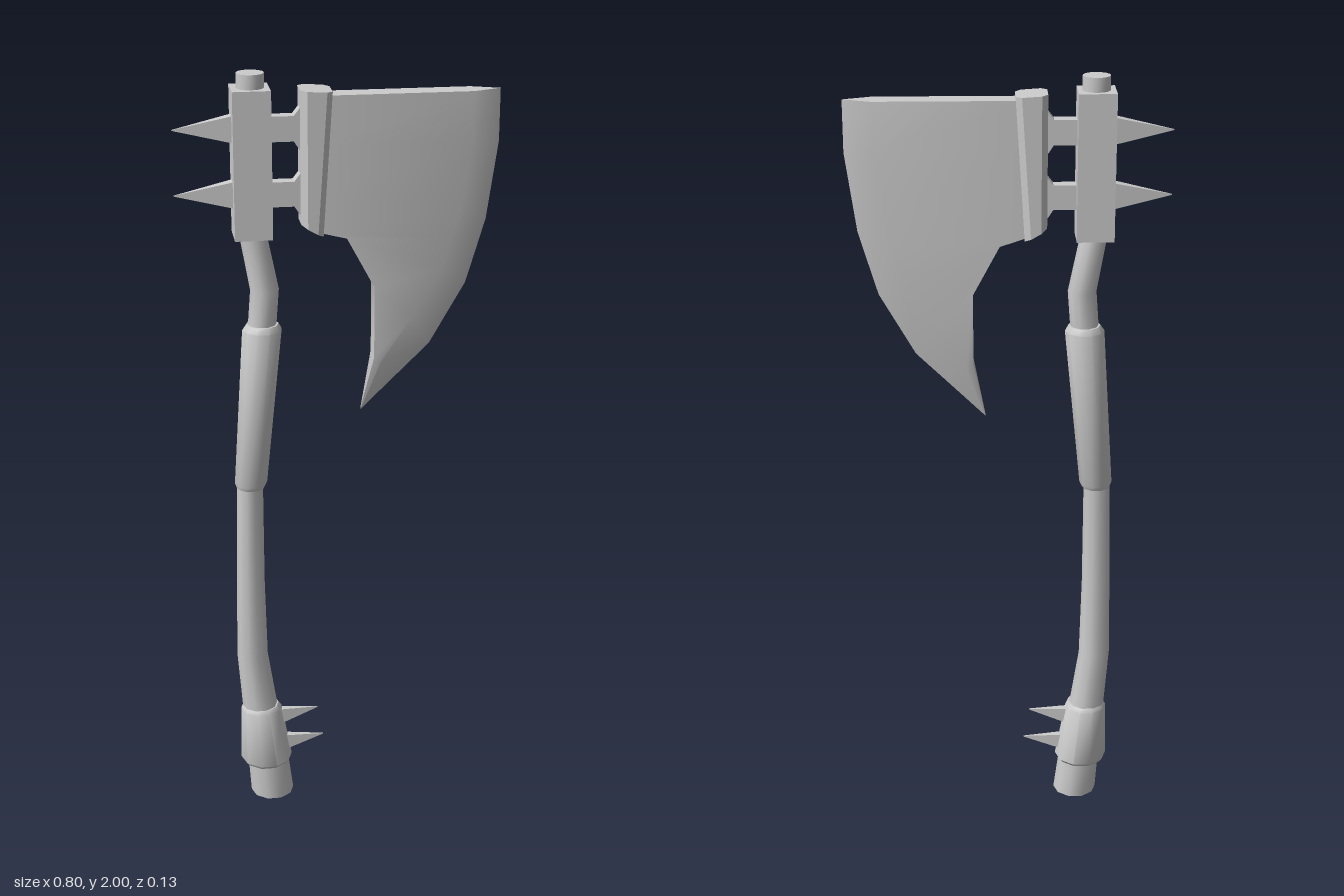
import * as THREE from 'three';
import { toCreasedNormals } from 'three/addons/utils/BufferGeometryUtils.js';

const material = new THREE.MeshStandardMaterial({ color: 0xcccccc });

// Skin a list of equal-length rings of [x, y, z] and close both ends
function loft(name, rings, crease = 0.75) {
  const n = rings[0].length, pos = [];
  const tri = (a, b, c) => pos.push(...a, ...b, ...c);
  const middle = (r) => [0, 1, 2].map((k) => r.reduce((s, p) => s + p[k], 0) / n);
  const first = rings[0], last = rings[rings.length - 1];
  const c0 = middle(first), c1 = middle(last);
  for (let i = 0; i < n; i++) {
    const k = (i + 1) % n;
    for (let j = 0; j < rings.length - 1; j++) {
      const lo = rings[j], hi = rings[j + 1];
      tri(lo[i], lo[k], hi[k]);
      tri(lo[i], hi[k], hi[i]);
    }
    tri(c0, first[k], first[i]);
    tri(c1, last[i], last[k]);
  }
  const geo = new THREE.BufferGeometry();
  geo.setAttribute('position', new THREE.Float32BufferAttribute(pos, 3));
  const mesh = new THREE.Mesh(toCreasedNormals(geo, crease), material);
  mesh.name = name;
  return mesh;
}

// Round bar through [centre x, y, radius] stations, bottom to top
function bar(name, stations, sides = 10) {
  return loft(name, stations.map(([cx, y, r]) => Array.from({ length: sides }, (_, i) => {
    const a = (i / sides) * Math.PI * 2;
    return [cx + r * Math.cos(a), y, -r * Math.sin(a)];
  })));
}

// Rectangular bar along x through [x, centre y, half height, half depth] stations
function beam(name, stations) {
  return loft(name, stations.map(([x, y, h, d]) =>
    [[x, y + h, -d], [x, y + h, d], [x, y - h, d], [x, y - h, -d]]), 0.3);
}

export function createModel() {
  const group = new THREE.Group();

  // Curved handle with its sleeves
  group.add(
    bar('shaft', [
      [-0.183, 0, 0.058], [-0.193, 0.105, 0.055], [-0.213, 0.27, 0.047], [-0.231, 0.43, 0.041],
      [-0.232, 0.65, 0.037], [-0.229, 0.93, 0.034], [-0.19, 1.37, 0.036], [-0.183, 1.46, 0.036],
      [-0.211, 1.61, 0.034]]),
    bar('pommelSleeve', [
      [-0.198, 0.1, 0.062], [-0.198, 0.11, 0.07], [-0.21, 0.265, 0.055], [-0.211, 0.275, 0.048]]),
    bar('gripSleeve', [
      [-0.227, 0.925, 0.037], [-0.226, 0.937, 0.042], [-0.191, 1.355, 0.05], [-0.19, 1.37, 0.041]]),
    bar('topCap', [[-0.21, 1.95, 0.034], [-0.21, 2, 0.034]], 16),
  );

  // Square block holding the head
  const block = new THREE.Mesh(new THREE.BoxGeometry(0.093, 0.365, 0.097), material);
  block.name = 'headBlock';
  block.position.set(-0.211, 1.782, 0);
  group.add(block);

  // Rear spikes and the struts opposite them
  for (const y of [1.867, 1.706]) {
    group.add(
      beam('rearSpike', [[-0.4, y, 0.001, 0.001], [-0.25, y, 0.034, 0.016]]),
      beam('strut', [[-0.18, y - 0.002, 0.031, 0.017], [-0.108, y - 0.002, 0.031, 0.017],
        [-0.09, y - 0.004, 0.056, 0.017]]),
    );
  }

  // Small spikes on the pommel sleeve
  for (const [x, y, tipX, tipY] of [[-0.17, 0.23, -0.055, 0.25], [-0.16, 0.147, -0.04, 0.163]]) {
    group.add(beam('pommelSpike', [[x, y, 0.025, 0.011], [tipX, tipY, 0.001, 0.001]]));
  }

  // Chamfered socket behind the blade, slanted at its lower end
  const socketRing = (right, yLeft, yRight) => {
    const left = -0.093, c = 0.015;
    return [[left, 0.03], [left + c, 0.046], [right - c, 0.046], [right, 0.03],
      [right, -0.03], [right - c, -0.046], [left + c, -0.046], [left, -0.03]]
      .map(([x, z]) => [x, THREE.MathUtils.mapLinear(x, left, right, yLeft, yRight), z]);
  };
  group.add(loft('bladeSocket', [socketRing(-0.038, 1.63, 1.598), socketRing(-0.015, 1.96, 1.955)], 0.3));

  // Blade rows, tip to top: back, bevel line, cutting edge
  const t = 0.028;
  const rows = [
    [0.06, 1.13, 0.06, 1.128, 0.06, 1.125, 0.001],
    [0.09, 1.275, 0.107, 1.262, 0.135, 1.199],
    [0.09, 1.46, 0.185, 1.375, 0.235, 1.297],
    [0.02, 1.59, 0.26, 1.505, 0.325, 1.455],
    [-0.04, 1.605, 0.283, 1.58, 0.35, 1.54],
    [-0.04, 1.7, 0.303, 1.65, 0.373, 1.62],
    [-0.04, 1.83, 0.328, 1.82, 0.4, 1.815],
    [-0.04, 1.945, 0.33, 1.945, 0.4, 1.945],
  ];
  group.add(loft('blade', rows.map(([bx, by, rx, ry, ex, ey, d = t]) =>
    [[bx, by, d], [rx, ry, d], [ex, ey, 0], [rx, ry, -d], [bx, by, -d]])));

  return group;
}
